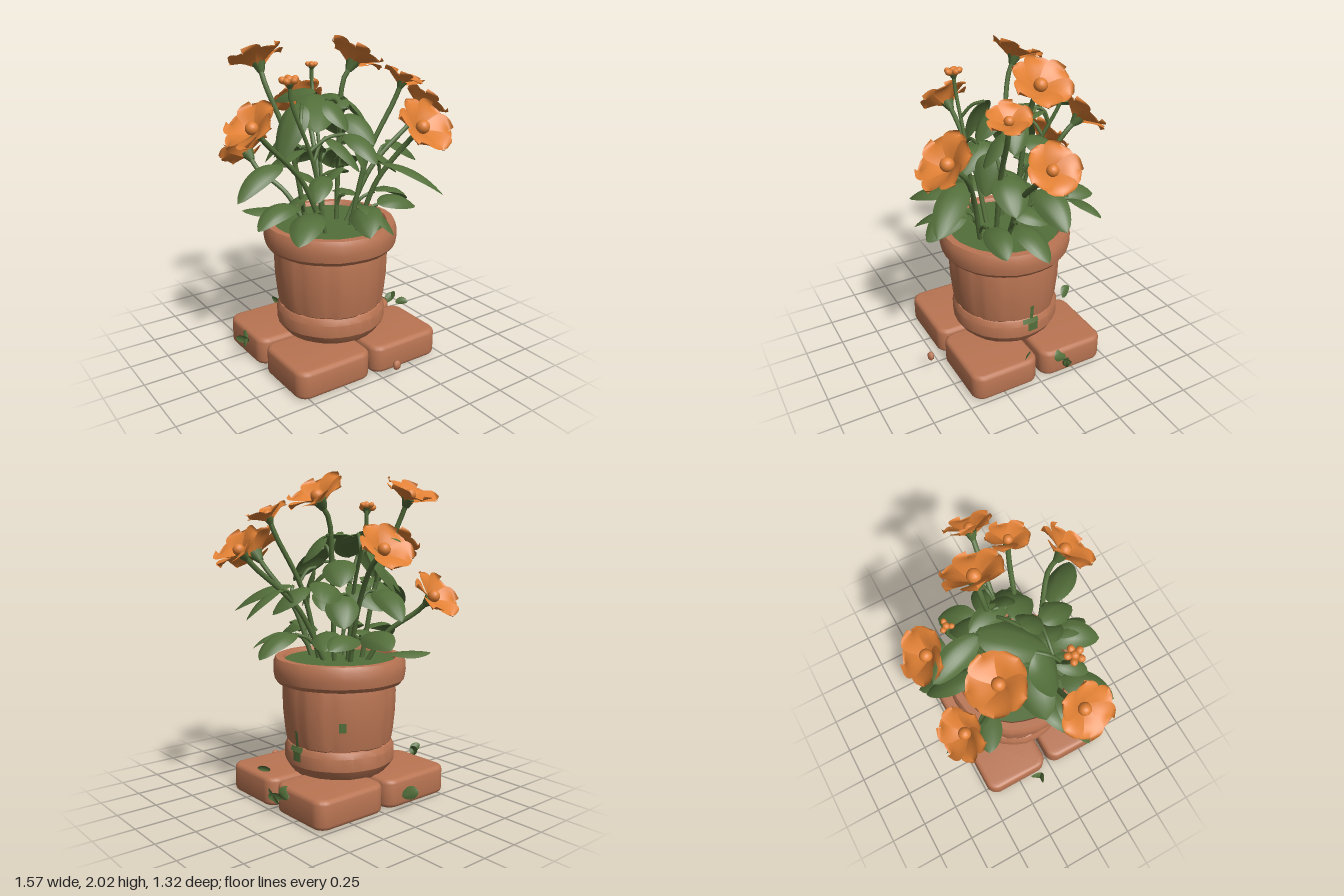
import * as THREE from 'three';
import { toCreasedNormals } from 'three/addons/utils/BufferGeometryUtils.js';

const mat = (name, color, side = THREE.FrontSide) => {
  const m = new THREE.MeshStandardMaterial({ color, side });
  m.name = name;
  return m;
};
const terracotta = mat('terracotta', 0xba7553);
const green = mat('leafGreen', 0x536e3a, THREE.DoubleSide);
const orange = mat('petalOrange', 0xe18034, THREE.DoubleSide);
const V = (x, y, z) => new THREE.Vector3(x, y, z);
const UP = V(0, 1, 0);

function add(parent, name, geometry, material) {
  const m = new THREE.Mesh(geometry, material);
  m.name = name;
  parent.add(m);
  return m;
}

// Curved sheet from a rule f(u, v): u in 0..1 along, v in -1..1 across
function sheet(f, nu, nv) {
  const pos = [], idx = [];
  for (let i = 0; i <= nu; i++)
    for (let j = 0; j <= nv; j++) {
      pos.push(...f(i / nu, (2 * j) / nv - 1).toArray());
      if (i < nu && j < nv) {
        const a = i * (nv + 1) + j, b = a + nv + 1;
        idx.push(a, a + 1, b, b, a + 1, b + 1);
      }
    }
  const g = new THREE.BufferGeometry();
  g.setAttribute('position', new THREE.Float32BufferAttribute(pos, 3));
  g.setIndex(idx);
  g.computeVertexNormals();
  return g;
}

function tube(parent, name, points, r) {
  const curve = new THREE.CatmullRomCurve3(points);
  add(parent, name, new THREE.TubeGeometry(curve, 14, r, 7), green);
  return curve.getPoints(16);
}

// Blunt leaf arching from base to tip, rolled about its length
function leaf(parent, [bx, by, bz, tx, ty, tz, w, arch], roll) {
  const a = V(bx, by, bz), c = V(tx, ty, tz);
  const mid = a.clone().lerp(c, 0.55).addScaledVector(UP, arch * 1.9);
  const curve = new THREE.QuadraticBezierCurve3(a, mid, c);
  const dir = c.clone().sub(a).normalize();
  const side = dir.clone().cross(UP).normalize().applyAxisAngle(dir, roll);
  const up = side.clone().cross(dir);
  add(parent, 'leaf', sheet((u, v) => {
    const half = w * Math.pow(Math.max(0, Math.sin(Math.PI * Math.pow(u, 0.9))), 0.62);
    const lift = w * (0.25 * Math.abs(v) - 0.6 * v * v) * Math.sin(Math.PI * u);
    return curve.getPoint(u).addScaledVector(side, half * v).addScaledVector(up, lift);
  }, 14, 6), green);
}

// Stalk from a leaf base down to the nearest lower point on any stem
function stalk(parent, [x, y, z], stemPoints) {
  const a = V(x, y, z);
  const cost = (p) => p.distanceTo(a) + (p.y > a.y - 0.06 ? 1 : 0);
  const root = stemPoints.reduce((best, p) => (cost(p) < cost(best) ? p : best));
  tube(parent, 'leafStalk', [root, root.clone().lerp(a, 0.5).addScaledVector(UP, 0.03), a], 0.011);
}

// Group standing at p with its own y axis along n
function facing(parent, name, p, n) {
  const g = new THREE.Group();
  g.name = name;
  g.position.copy(p);
  g.quaternion.setFromUnitVectors(UP, n);
  parent.add(g);
  return g;
}

// Blossom with separate rounded, cupped petals round a dome
function flower(parent, p, n, R, petals) {
  const g = facing(parent, 'flower', p, n);
  for (let k = 0; k < petals; k++) {
    const petal = add(g, 'petal', sheet((u, v) => {
      const round = Math.pow(Math.max(0, Math.sin(Math.PI * Math.pow(u, 1.75))), 0.55);
      const half = R * (0.09 * (1 - u) + (2.75 / petals) * round);
      const reach = R * u * 1.04 * (1 - 0.07 * u * Math.exp(-v * v * 10));
      const y = R * (-0.36 + 0.72 * u - 0.36 * u * u * u + 0.12 * v * v * u) + 0.012 * v;
      return V(half * v, y, reach);
    }, 12, 8), orange);
    petal.rotation.y = (k / petals) * Math.PI * 2 + 0.3;
  }
  const dome = add(g, 'flowerCentre', new THREE.SphereGeometry(R * 0.23, 14, 10), orange);
  dome.position.y = -R * 0.1;
  const calyx = add(g, 'calyx', new THREE.CylinderGeometry(R * 0.27, R * 0.12, R * 0.36, 10), green);
  calyx.position.y = -R * 0.42;
}

// Half-open bud made of plump lobes
function bud(parent, p, n, R, lobes) {
  const g = facing(parent, 'bud', p, n);
  for (let k = 0; k < lobes; k++) {
    const a = (k / lobes) * Math.PI * 2;
    const lobe = add(g, 'budPetal', new THREE.SphereGeometry(R * 0.42, 10, 8), orange);
    lobe.scale.set(1, 0.8, 0.85);
    lobe.position.set(Math.cos(a) * R * 0.6, 0, Math.sin(a) * R * 0.6);
    lobe.rotation.set(0, -a, 0.5);
  }
  add(g, 'budCentre', new THREE.SphereGeometry(R * 0.45, 10, 8), orange);
  const calyx = add(g, 'calyx', new THREE.CylinderGeometry(R * 0.5, R * 0.2, R * 0.5, 8), green);
  calyx.position.y = -R * 0.55;
}

// Slab with rounded corners and softened edges, standing on y = 0
function slabGeometry(w, d, h) {
  const b = 0.028, r = 0.05, x = w / 2 - b, y = d / 2 - b;
  const s = new THREE.Shape();
  s.absarc(x - r, y - r, r, 0, Math.PI / 2);
  s.absarc(r - x, y - r, r, Math.PI / 2, Math.PI);
  s.absarc(r - x, r - y, r, Math.PI, Math.PI * 1.5);
  s.absarc(x - r, r - y, r, Math.PI * 1.5, Math.PI * 2);
  const g = new THREE.ExtrudeGeometry(s, {
    depth: h - 2 * b, bevelSize: b, bevelThickness: b, bevelSegments: 3, curveSegments: 5,
  });
  return toCreasedNormals(g.rotateX(-Math.PI / 2).translate(0, b, 0), 0.6);
}

function buildPot() {
  const pot = new THREE.Group();
  pot.name = 'pot';
  pot.position.set(-0.04, 0, -0.025);
  const lathe = (name, pts, seg, rule) => {
    const g = new THREE.LatheGeometry(pts.map(([r, y]) => new THREE.Vector2(r, y)), seg);
    const P = g.attributes.position;
    for (let i = 0; i < P.count; i++) {
      const k = rule(Math.floor(i / pts.length) % seg);
      P.setX(i, P.getX(i) * k);
      P.setZ(i, P.getZ(i) * k);
    }
    g.computeVertexNormals();
    add(pot, name, toCreasedNormals(g, 0.5), terracotta);
  };
  const wobble = (i) => 1 + 0.006 * Math.sin(i * 2.3);
  lathe('potFoot', [[0, 0.17], [0.3, 0.17], [0.325, 0.2], [0.35, 0.24], [0.352, 0.32],
    [0.335, 0.355], [0.31, 0.37]], 28, wobble);
  lathe('potBody', [[0.31, 0.34], [0.335, 0.365], [0.345, 0.42], [0.358, 0.55], [0.362, 0.68],
    [0.355, 0.74], [0.34, 0.76]], 66,
  (i) => (i % 6 === 0 ? 0.978 : 1 + 0.012 * Math.sin(Math.floor(i / 6) * 2.7)));
  lathe('potRim', [[0.34, 0.735], [0.395, 0.74], [0.415, 0.765], [0.422, 0.81], [0.42, 0.865],
    [0.405, 0.897], [0.36, 0.897], [0.345, 0.87], [0.34, 0.8]], 30, wobble);
  add(pot, 'mossySoil', new THREE.CylinderGeometry(0.35, 0.35, 0.02, 32), green).position.y = 0.865;

  // Moss stains: top radius, bottom radius, height, centre y, angle, width
  for (const [rt, rb, h, y, a, w] of [[0.357, 0.357, 0.06, 0.305, 1.62, 0.2],
    [0.343, 0.356, 0.03, 0.35, 1.58, 0.32], [0.353, 0.345, 0.1, 0.415, 1.6, 0.07],
    [0.366, 0.364, 0.06, 0.52, 2.5, 0.12]])
    add(pot, 'moss', new THREE.CylinderGeometry(rt, rb, h, 4, 1, true, a - w / 2, w), green).position.y = y;
  return pot;
}

function buildPlant() {
  const plant = new THREE.Group();
  plant.name = 'plant';
  // Blossoms: position, facing, radius, petals, stem root x and z
  const blossoms = [
    [0.65, 1.585, 0.06, 0.7, 0.71, 0.05, 0.15, 5, 0.06, 0],
    [-0.64, 1.585, 0.09, -0.68, 0.72, 0.12, 0.165, 6, -0.14, 0.05],
    [0.22, 1.895, -0.12, 0.55, 0.83, 0, 0.178, 6, 0.03, -0.06],
    [0.37, 1.785, 0.17, 0.35, 0.92, 0.15, 0.125, 5, 0.04, 0.08],
    [0.26, 1.56, 0.5, 0.12, 0.7, 0.7, 0.18, 6, 0.02, 0.18],
    [-0.38, 1.91, -0.3, -0.08, 0.9, -0.4, 0.165, 5, -0.18, -0.08],
    [-0.37, 1.3, -0.53, -0.15, 0.66, -0.74, 0.165, 6, -0.15, -0.16],
    [0.05, 1.59, -0.53, 0.05, 0.68, -0.73, 0.165, 5, -0.02, -0.15],
    [-0.41, 1.825, 0.13, -0.1, 1, 0.05, 0.06, 5, -0.17, 0.12],
    [0.05, 1.825, -0.37, 0, 1, 0, 0.045, 3, -0.04, -0.1],
  ];
  const stemPoints = [];
  for (const [x, y, z, nx, ny, nz, R, petals, rx, rz] of blossoms) {
    const p = V(x, y, z), n = V(nx, ny, nz).normalize();
    (R < 0.1 ? bud : flower)(plant, p, n, R, petals);
    const end = p.clone().addScaledVector(n, -R * 0.5);
    const neck = end.clone().addScaledVector(n, -0.09);
    const root = V(rx, 0.86, rz);
    const mid = root.clone().lerp(neck, 0.4).setY(0.86 + (neck.y - 0.86) * 0.58);
    stemPoints.push(...tube(plant, 'stem', [root, mid, neck, end], R < 0.1 ? 0.012 : 0.016));
  }

  // Leaves: base, tip, half width, arch
  const low = [
    [-0.28, 1.04, 0.18, -0.54, 0.96, 0.42, 0.1, 0.06],
    [0, 1.02, 0.22, -0.15, 0.97, 0.55, 0.095, 0.08],
    [-0.02, 1.06, 0.25, 0.02, 0.95, 0.54, 0.09, 0.06],
    [0.16, 1.02, 0.2, 0.45, 0.96, 0.22, 0.08, 0.05],
    [0.25, 1.05, 0.05, 0.55, 0.93, 0, 0.09, 0.06],
    [-0.28, 1.03, 0, -0.61, 0.96, 0.08, 0.08, 0.07],
    [0, 1.05, -0.27, 0.08, 1.02, -0.62, 0.09, 0.05],
    [0.13, 1.06, -0.4, 0.4, 1.03, -0.46, 0.075, 0.04],
    [0.05, 1.05, 0, 0.22, 0.97, -0.2, 0.09, 0.04],
    [-0.1, 1.05, -0.1, -0.28, 0.95, -0.2, 0.09, 0.04],
  ];
  const middle = [
    [-0.42, 1.32, 0.05, -0.74, 1.16, 0.1, 0.07, 0.06],
    [0.38, 1.33, 0, 0.66, 1.18, -0.04, 0.09, 0.05],
    [0.08, 1.32, 0.3, 0.34, 1.15, 0.6, 0.09, 0.06],
    [0.14, 1.33, 0.05, 0.37, 1.17, 0.12, 0.11, 0.05],
    [-0.2, 1.36, -0.05, -0.51, 1.22, -0.06, 0.12, 0.06],
    [0.12, 1.35, -0.15, 0.34, 1.28, -0.33, 0.1, 0.05],
    [-0.1, 1.32, -0.28, -0.02, 1.17, -0.6, 0.08, 0.06],
    [-0.2, 1.25, 0.15, -0.36, 1.15, 0.32, 0.07, 0.04],
    [-0.12, 1.45, 0.05, -0.05, 1.28, 0.3, 0.085, 0.05],
    [-0.2, 1.45, -0.2, -0.4, 1.28, -0.2, 0.1, 0.05],
    [0.05, 1.45, 0.1, 0.1, 1.2, 0.18, 0.09, 0.04],
    [0.1, 1.3, -0.2, 0.2, 1.12, -0.35, 0.1, 0.04],
    [-0.05, 1.35, -0.1, -0.1, 1.2, -0.35, 0.1, 0.04],
    [0, 1.3, 0, 0.16, 1.2, -0.1, 0.09, 0.03],
    [0, 1.25, 0.05, -0.17, 1.15, 0.06, 0.08, 0.03],
  ];
  const high = [
    [0, 1.66, -0.24, -0.22, 1.5, 0.1, 0.125, 0.05],
    [-0.25, 1.66, 0, -0.44, 1.33, 0.04, 0.1, 0.07],
    [0.03, 1.56, 0, 0.13, 1.4, 0.2, 0.085, 0.04],
    [-0.02, 1.66, -0.22, -0.12, 1.58, -0.56, 0.08, 0.04],
    [0.05, 1.5, -0.1, 0.2, 1.36, -0.32, 0.1, 0.05],
    [-0.05, 1.48, 0.15, 0, 1.34, 0.4, 0.075, 0.05],
    [0.08, 1.6, 0, 0.03, 1.64, -0.26, 0.07, 0.03],
    [-0.1, 1.56, -0.2, -0.3, 1.28, -0.27, 0.1, 0.05],
    [0.08, 1.65, -0.05, 0.2, 1.48, 0.04, 0.08, 0.03],
    [-0.08, 1.66, 0, -0.04, 1.5, 0.16, 0.085, 0.03],
  ];
  [...low, ...middle, ...high].forEach((l, i) => {
    leaf(plant, l, 0.45 * Math.sin(i * 2.4));
    stalk(plant, l, stemPoints);
  });
  // Leaf lying on the rim
  leaf(plant, [-0.2, 0.92, -0.28, -0.46, 0.92, -0.42, 0.08, 0.01], 0);
  return plant;
}

function createModel() {
  const model = new THREE.Group();

  // Four paving slabs
  const slabs = new THREE.Group();
  slabs.name = 'slabs';
  for (const [x, w] of [[-0.303, 0.52], [0.227, 0.51]])
    for (const z of [0.228, -0.255])
      add(slabs, 'slab', slabGeometry(w, 0.455, 0.18), terracotta).position.set(x, 0, z);

  // Fallen leaves round the slabs
  const fallen = new THREE.Group();
  fallen.name = 'fallenLeaves';
  [
    [-0.6, 0.15, -0.12, -0.68, 0.21, -0.13, 0.03, 0.01], [-0.6, 0.21, -0.18, -0.64, 0.13, -0.1, 0.03, 0.01],
    [0.51, 0.11, -0.15, 0.6, 0.16, -0.14, 0.03, 0.01], [0.55, 0.1, -0.18, 0.58, 0.19, -0.12, 0.025, 0],
    [0.44, 0.22, 0.06, 0.5, 0.23, 0.12, 0.025, 0.01], [0.49, 0.16, -0.1, 0.49, 0.12, -0.19, 0.04, 0.01],
    [-0.1, 0.1, -0.54, -0.15, 0.14, -0.63, 0.04, 0.01],
  ].forEach((l) => leaf(fallen, l, 1.1));
  // Dry petal by the front slab
  const dry = add(fallen, 'dryPetal', new THREE.SphereGeometry(0.035, 8, 6), terracotta);
  dry.scale.set(0.8, 0.9, 0.6);
  dry.position.set(0.05, 0.11, 0.57);

  model.add(slabs, buildPot(), buildPlant(), fallen);
  return model;
}

export { createModel };
